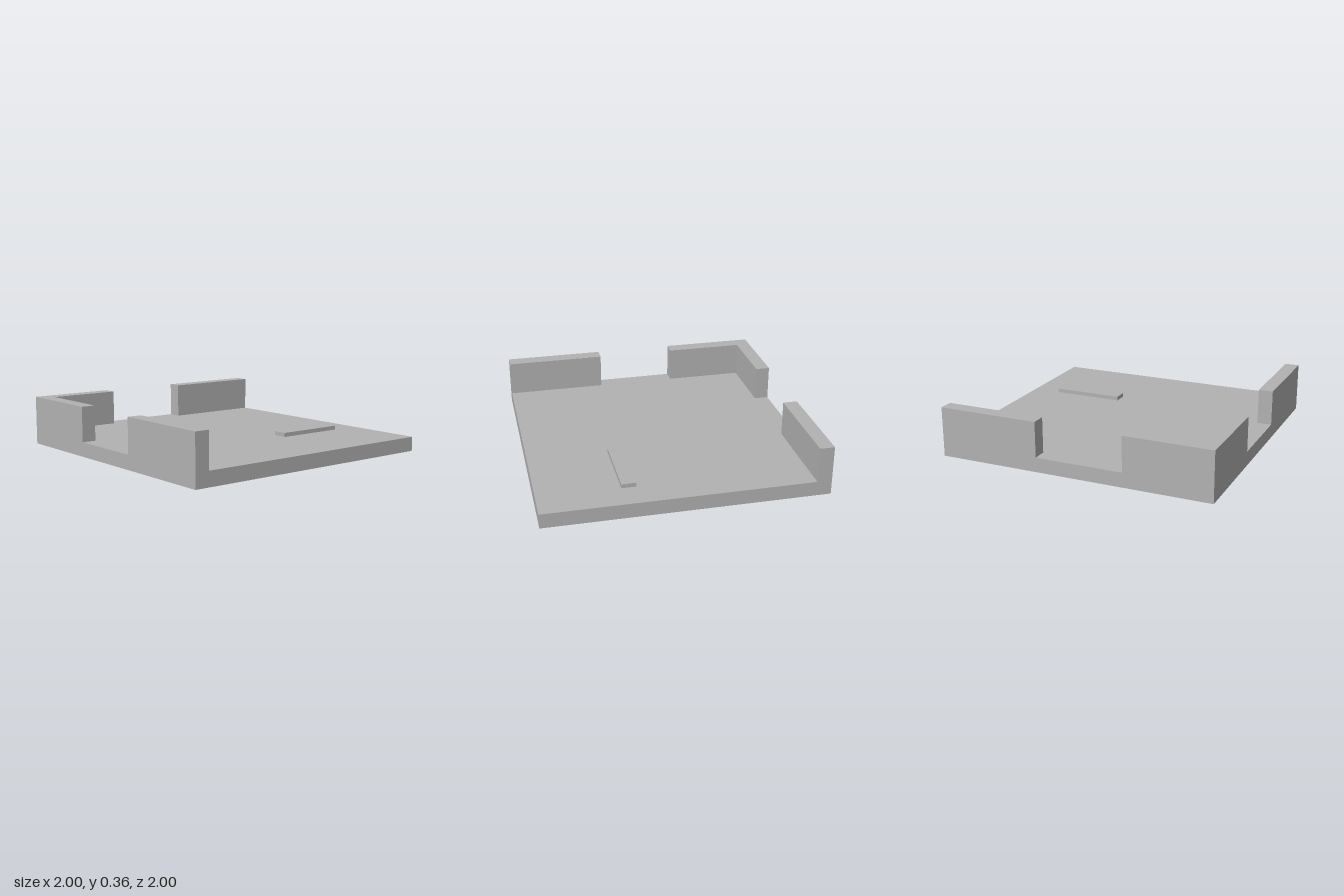
import * as THREE from 'three';

const FLOOR = 0.105; // slab thickness
const TOP = 0.36; // wall top
const T = 0.105; // wall thickness

export function createModel() {
  const model = new THREE.Group();
  const grey = new THREE.MeshStandardMaterial({ color: 0xb2b2b2 });
  grey.name = 'plain grey';

  // Box given by its limits on each axis
  function block(name, [x0, x1], [y0, y1], [z0, z1]) {
    const mesh = new THREE.Mesh(new THREE.BoxGeometry(x1 - x0, y1 - y0, z1 - z0), grey);
    mesh.position.set((x0 + x1) / 2, (y0 + y1) / 2, (z0 + z1) / 2);
    mesh.name = name;
    model.add(mesh);
  }

  block('floorSlab', [-1, 1], [0, FLOOR], [-1, 1]);
  block('backSideWall', [-1, -1 + T], [FLOOR, TOP], [-1, -0.265]);
  block('frontLeftWall', [0.265, 1], [FLOOR, TOP], [1 - T, 1]);
  block('floorStrip', [0.315, 0.42], [FLOOR, 0.135], [-0.79, -0.265]);

  // L-shaped corner wall, drawn in plan as (x, -z) and raised
  const plan = [[-1, -1], [-0.32, -1], [-0.32, -1 + T], [-1 + T, -1 + T], [-1 + T, -0.37], [-1, -0.37]];
  const shape = new THREE.Shape(plan.map(([x, y]) => new THREE.Vector2(x, y)));
  const geometry = new THREE.ExtrudeGeometry(shape, { depth: TOP - FLOOR, bevelEnabled: false });
  geometry.rotateX(-Math.PI / 2);
  const corner = new THREE.Mesh(geometry, grey);
  corner.position.y = FLOOR;
  corner.name = 'cornerWall';
  model.add(corner);

  return model;
}
